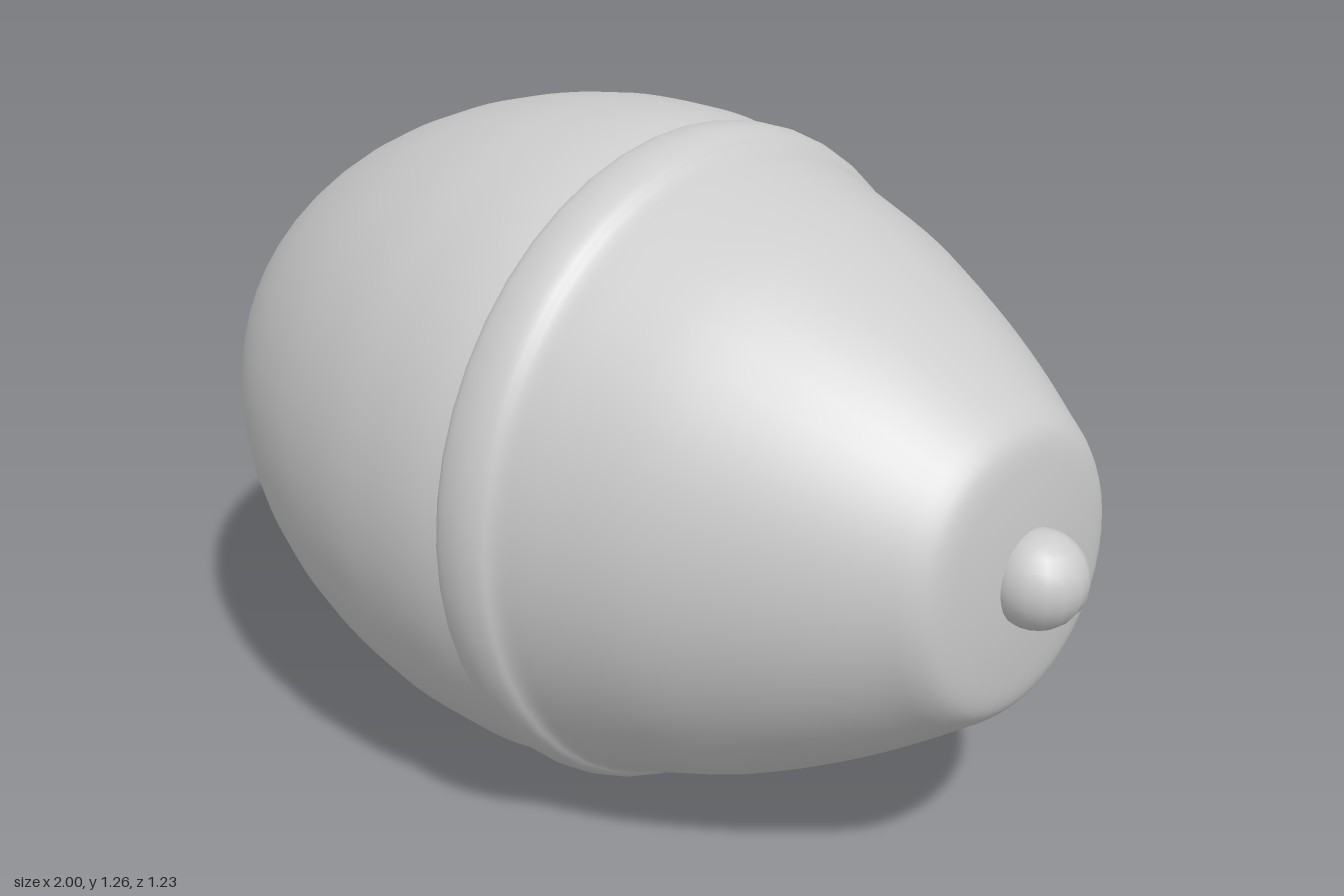
import * as THREE from 'three';

const AXIS_Y = 0.631; // height of the long axis

const material = new THREE.MeshStandardMaterial({ color: 0xcccccc, side: THREE.DoubleSide });

// Turn a [along axis, radius] profile around the x axis, smoothing it with a spline
function turned(name, profile, steps) {
  const curve = new THREE.SplineCurve(profile.map(([x, r]) => new THREE.Vector2(r, x)));
  const points = curve.getPoints(steps);
  points.forEach((p) => { p.x = Math.max(p.x, 0); });
  const geometry = new THREE.LatheGeometry(points, 48);
  geometry.rotateZ(-Math.PI / 2);
  geometry.scale(1, 1, 0.98); // slightly narrower front to back
  const mesh = new THREE.Mesh(geometry, material);
  mesh.name = name;
  mesh.position.y = AXIS_Y;
  return mesh;
}

export function createModel() {
  const group = new THREE.Group();
  group.name = 'acorn';

  // Nut: blunt point at -x, swelling towards the cap
  group.add(turned('nut', [
    [-1, 0], [-0.99, 0.05], [-0.96, 0.115], [-0.9, 0.205], [-0.77, 0.35], [-0.6, 0.475],
    [-0.4, 0.565], [-0.2, 0.615], [-0.05, 0.628], [0.05, 0.625], [0.12, 0.612],
  ], 50));

  // Cap: raised rolled rim, domed side, rounded shoulder and nearly flat end
  group.add(turned('cap', [
    [0.1, 0.608], [0.12, 0.62], [0.165, 0.622], [0.205, 0.61], [0.23, 0.59], [0.3, 0.567],
    [0.45, 0.513], [0.6, 0.437], [0.72, 0.365], [0.81, 0.303], [0.855, 0.27], [0.88, 0.235],
    [0.892, 0.17], [0.9, 0.08], [0.902, 0],
  ], 56));

  // Stem: small round knob on the cap end
  const stem = new THREE.Mesh(new THREE.SphereGeometry(0.086, 16, 12), material);
  stem.name = 'stem';
  stem.position.set(0.914, 0.636, 0);
  group.add(stem);

  return group;
}
